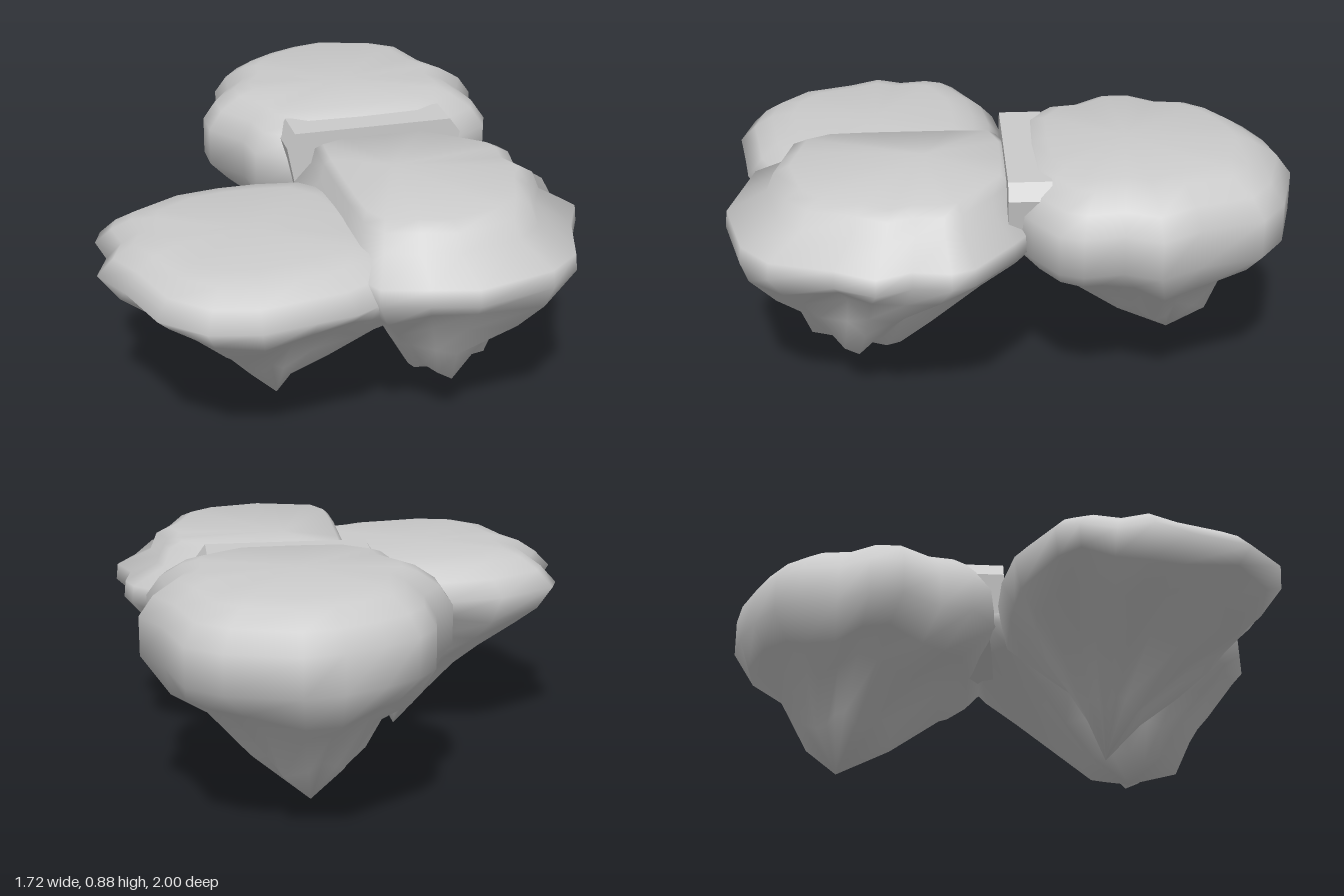
import * as THREE from 'three';
import { toCreasedNormals } from 'three/addons/utils/BufferGeometryUtils.js';

const material = new THREE.MeshStandardMaterial({ color: 0xcccccc });

// Lofts an island: the outline (x, z) is scaled about a centre that drifts to the tip.
// levels: [y, scale], from the flat top down to the point.
function island(name, outline, centre, tip, levels, phase) {
  const n = outline.length;
  const widest = levels.findLast((l) => l[1] === 1)[0];
  const last = levels[levels.length - 1][0];
  const rings = levels.map(([y, s]) => {
    const t = Math.max(0, (widest - y) / (widest - last));
    const cx = THREE.MathUtils.lerp(centre[0], tip[0], t);
    const cz = THREE.MathUtils.lerp(centre[1], tip[1], t);
    return outline.map(([x, z], i) => {
      const a = (i / n) * Math.PI * 2;
      // rocky lumps on the underside
      const lump = Math.sin(a * 4 + phase + y * 5) * 0.09 + Math.sin(a * 6 + phase * 2 - y * 11) * 0.07;
      const k = s * (1 + lump * Math.min(1, t * 2));
      const bump = s > 0 && t > 0.1 ? Math.sin(a * 5 + phase + y * 8) * 0.025 : 0;
      return new THREE.Vector3(cx + (x - centre[0]) * k, y + bump, cz + (z - centre[1]) * k);
    });
  });
  const pos = [];
  const tri = (...p) => p.forEach((v) => pos.push(v.x, v.y, v.z));
  for (let r = 0; r < rings.length - 1; r++) {
    const up = rings[r], low = rings[r + 1];
    for (let i = 0; i < n; i++) {
      const j = (i + 1) % n;
      if (levels[r][1] > 0) tri(up[i], up[j], low[j]);
      if (levels[r + 1][1] > 0) tri(up[i], low[j], low[i]);
    }
  }
  const geo = new THREE.BufferGeometry();
  geo.setAttribute('position', new THREE.Float32BufferAttribute(pos, 3));
  const mesh = new THREE.Mesh(toCreasedNormals(geo, 1.9), material);
  mesh.name = name;
  return mesh;
}

export function createModel() {
  const group = new THREE.Group();
  group.name = 'floatingIslands';

  // low island at the front
  const low = [
    [-0.58, 0.02], [-0.38, -0.01], [-0.2, -0.01], [0, 0.02], [0.13, 0.15], [0.18, 0.33],
    [0.2, 0.5], [0.18, 0.7], [0.16, 0.87], [0, 0.91], [-0.08, 0.95], [-0.22, 0.97], [-0.41, 1],
    [-0.58, 0.96], [-0.72, 0.83], [-0.79, 0.61], [-0.86, 0.47], [-0.81, 0.35], [-0.83, 0.22], [-0.8, 0.14],
  ];
  group.add(island('lowIsland', low, [-0.33, 0.48], [-0.22, 0.37], [
    [0.735, 0], [0.735, 0.6], [0.715, 0.76], [0.67, 0.89], [0.61, 1],
    [0.53, 0.9], [0.45, 0.73], [0.33, 0.48], [0.17, 0.2], [0, 0],
  ], 0.6));

  // middle island at the front, with a raised cap over a wider ledge
  const middle = [
    [-0.06, -0.05], [0.08, -0.1], [0.3, -0.1], [0.5, -0.09], [0.63, 0], [0.8, 0.14], [0.83, 0.22],
    [0.81, 0.35], [0.86, 0.47], [0.79, 0.61], [0.72, 0.83], [0.6, 0.93], [0.32, 1], [0.16, 0.96],
    [0, 0.92], [-0.06, 0.8], [-0.07, 0.6], [-0.07, 0.4], [-0.07, 0.15],
  ];
  group.add(island('middleIsland', middle, [0.22, 0.3], [0.31, 0.53], [
    [0.825, 0], [0.825, 0.67], [0.8, 0.75], [0.735, 0.79], [0.67, 0.99], [0.61, 1],
    [0.54, 0.88], [0.44, 0.68], [0.32, 0.47], [0.2, 0.3], [0.12, 0],
  ], 2.2));

  // high island at the back
  const high = [
    [0.27, -1], [0.52, -0.93], [0.64, -0.84], [0.7, -0.62], [0.78, -0.48], [0.73, -0.36],
    [0.75, -0.22], [0.72, -0.14], [0.6, -0.06], [0.5, 0], [0.22, 0.01], [-0.04, 0],
    [-0.18, -0.1], [-0.2, -0.22], [-0.3, -0.36], [-0.3, -0.48], [-0.22, -0.6], [-0.2, -0.74],
    [-0.13, -0.83], [-0.01, -0.91], [0.13, -0.97],
  ];
  group.add(island('highIsland', high, [0.22, -0.41], [0.21, -0.59], [
    [0.88, 0], [0.88, 0.66], [0.86, 0.77], [0.81, 0.91], [0.74, 1], [0.6, 1],
    [0.49, 0.82], [0.42, 0.6], [0.25, 0.33], [0.09, 0],
  ], 1.2));

  // step joining the middle and high islands
  const section = new THREE.Shape([
    [-0.05, 0.6], [0.25, 0.52], [0.53, 0.6], [0.57, 0.8], [0.53, 0.855], [-0.06, 0.855], [-0.09, 0.8],
  ].map(([x, y]) => new THREE.Vector2(x, y)));
  const step = new THREE.Mesh(
    new THREE.ExtrudeGeometry(section, { depth: 0.15, bevelEnabled: false }).translate(0, 0, -0.13), material);
  step.name = 'joiningStep';
  group.add(step);

  return group;
}
